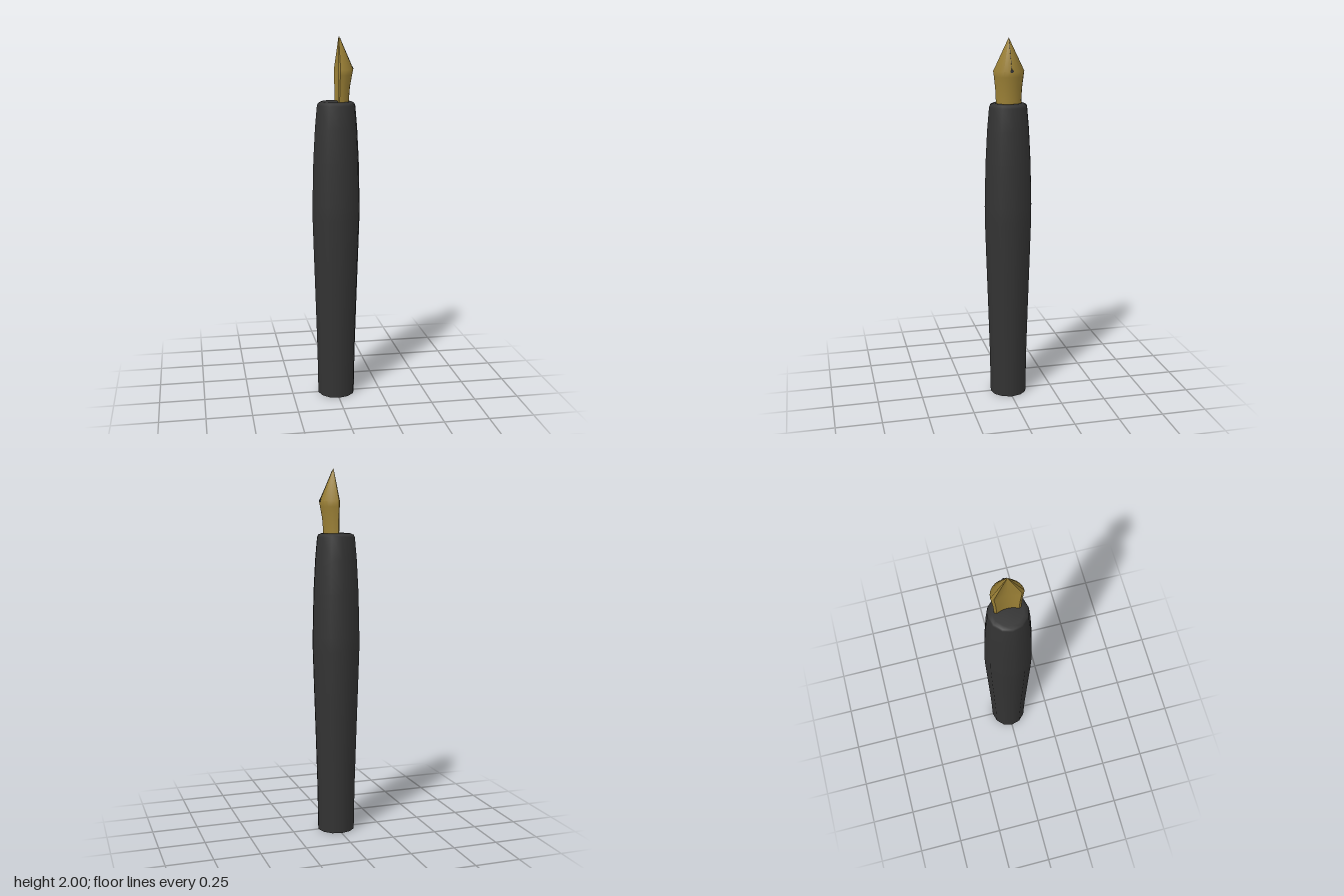
import * as THREE from 'three';
import { toCreasedNormals } from 'three/addons/utils/BufferGeometryUtils.js';

const barrelMaterial = new THREE.MeshStandardMaterial({ color: 0x333333 });
barrelMaterial.name = 'charcoal';
const nibMaterial = new THREE.MeshStandardMaterial({ color: 0x9c8136 });
nibMaterial.name = 'gold';

function addMesh(group, name, geometry, material) {
  const mesh = new THREE.Mesh(geometry, material);
  mesh.name = name;
  group.add(mesh);
  return mesh;
}

// One closed nib cross-section: curved back towards +x, shallow hollow towards -x
function nibSection([y, halfWidth, inner, outer]) {
  const points = [];
  const depth = outer - inner;
  const lip = depth * 0.11;
  for (let i = 0; i <= 12; i++) {
    const t = (i / 12 - 0.5) * Math.PI;
    points.push([inner + lip + (depth - lip) * Math.cos(t), y, halfWidth * Math.sin(t)]);
  }
  for (let i = 0; i <= 6; i++) {
    const s = 1 - i / 3;
    points.push([inner + depth * 0.2 * (1 - s * s), y, halfWidth * 0.82 * s]);
  }
  return points;
}

function nibGeometry() {
  // y, half width, inner x, outer x
  const rings = [
    [1.64, 0.068, 0, 0.067],
    [1.68, 0.069, 0, 0.069],
    [1.74, 0.072, 0, 0.074],
    [1.8, 0.079, 0, 0.085],
    [1.83, 0.083, 0, 0.091],
    [2, 0.0008, 0.013, 0.016],
  ].map(nibSection);
  const n = rings[0].length;
  const index = [];
  for (let r = 0; r < rings.length - 1; r++) {
    for (let i = 0; i < n; i++) {
      const a = r * n + i;
      const b = r * n + ((i + 1) % n);
      index.push(a, a + n, b, b, a + n, b + n);
    }
  }
  const geometry = new THREE.BufferGeometry();
  geometry.setAttribute('position', new THREE.Float32BufferAttribute(rings.flat(2), 3));
  geometry.setIndex(index);
  return toCreasedNormals(geometry, 0.8);
}

export function createModel() {
  const group = new THREE.Group();
  group.name = 'fountainPen';

  // Swelling twelve-sided barrel, closed at the top
  const profile = [
    [0.103, 0], [0.107, 0.25], [0.115, 0.52], [0.124, 0.8], [0.131, 1.03], [0.131, 1.1],
    [0.125, 1.34], [0.115, 1.52], [0.104, 1.64], [0.098, 1.652], [0.08, 1.66], [0, 1.66],
  ].map(([r, y]) => new THREE.Vector2(r, y));
  addMesh(group, 'barrel', new THREE.LatheGeometry(profile, 12), barrelMaterial);

  // Flat end of the barrel
  const end = addMesh(group, 'barrelEnd', new THREE.CircleGeometry(0.103, 12), barrelMaterial);
  end.rotation.x = Math.PI / 2;

  addMesh(group, 'nib', nibGeometry(), nibMaterial);

  // Breather hole and the slit running to the tip
  const hole = addMesh(group, 'breatherHole', new THREE.CylinderGeometry(0.009, 0.009, 0.006, 10), barrelMaterial);
  hole.rotation.z = Math.PI / 2;
  hole.position.set(0.088, 1.833, 0);

  const slit = addMesh(group, 'slit', new THREE.BoxGeometry(0.003, 0.165, 0.0015), barrelMaterial);
  slit.position.set(0.0535, 1.915, 0);
  slit.rotation.z = Math.atan2(0.075, 0.17);

  return group;
}
